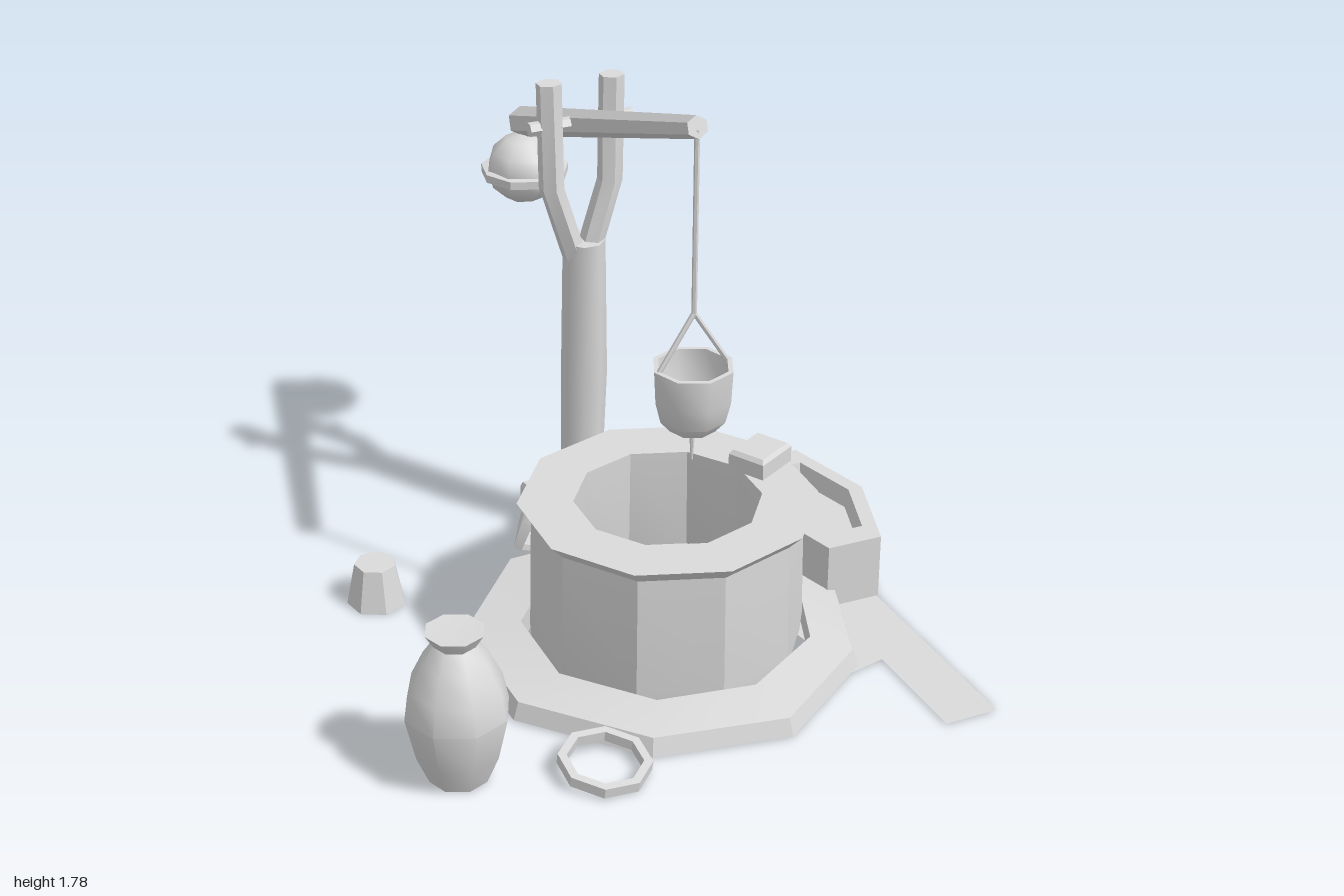
import * as THREE from 'three';
import { toCreasedNormals } from 'three/addons/utils/BufferGeometryUtils.js';

const V = (x, y, z) => new THREE.Vector3(x, y, z);
const FLAT = 0.2, SOFT = 0.95;

// Regular ring of n points, running from +z towards +x
function ring(cx, y, cz, rx, rz, n, start = 0) {
  return Array.from({ length: n }, (_, i) => {
    const a = start + (i / n) * Math.PI * 2;
    return V(cx + Math.sin(a) * rx, y, cz + Math.cos(a) * rz);
  });
}

// Skin a stack of rings, with optional end caps
function loft(rings, capStart = true, capEnd = true) {
  const pos = [], n = rings[0].length;
  const tri = (...pts) => pts.forEach((p) => pos.push(p.x, p.y, p.z));
  for (let k = 0; k < rings.length - 1; k++) {
    const a = rings[k], b = rings[k + 1];
    for (let i = 0; i < n; i++) {
      const j = (i + 1) % n;
      tri(a[i], a[j], b[j]);
      tri(a[i], b[j], b[i]);
    }
  }
  const cap = (r, flip) => {
    const c = r.reduce((s, p) => s.add(p), V(0, 0, 0)).divideScalar(n);
    for (let i = 0; i < n; i++) {
      const p = r[i], q = r[(i + 1) % n];
      flip ? tri(c, q, p) : tri(c, p, q);
    }
  };
  if (capStart) cap(rings[0], true);
  if (capEnd) cap(rings[rings.length - 1], false);
  const g = new THREE.BufferGeometry();
  g.setAttribute('position', new THREE.Float32BufferAttribute(pos, 3));
  return g;
}

const lathe = (pts, n, start = 0) =>
  new THREE.LatheGeometry(pts.map(([r, y]) => new THREE.Vector2(r, y)), n, start);

// Tapered rod between two points
function rod(a, b, ra, rb, n = 6) {
  const d = b.clone().sub(a);
  const g = new THREE.CylinderGeometry(rb, ra, d.length(), n);
  g.applyQuaternion(new THREE.Quaternion().setFromUnitVectors(V(0, 1, 0), d.normalize()));
  const m = a.clone().add(b).multiplyScalar(0.5);
  return g.translate(m.x, m.y, m.z);
}

// Block with a bevelled top edge and open underside, standing on y = 0
function block(w, h, d) {
  const sq = (s, y) => [V(w * s, y, d * s), V(w * s, y, -d * s), V(-w * s, y, -d * s), V(-w * s, y, d * s)];
  return loft([sq(0.5, 0), sq(0.5, h * 0.8), sq(0.43, h)], false);
}

export function createModel() {
  const model = new THREE.Group();
  model.name = 'sweepWell';
  const grey = new THREE.MeshStandardMaterial({ color: 0xdadada });
  grey.name = 'plain grey';
  grey.side = THREE.DoubleSide;

  const add = (name, geo, x = 0, y = 0, z = 0, crease = FLAT) => {
    const mesh = new THREE.Mesh(toCreasedNormals(geo, crease), grey);
    mesh.name = name;
    mesh.position.set(x, y, z);
    model.add(mesh);
    return mesh;
  };
  const cx = 0.083, wz = 0.28, pz = -0.395;

  // Uneven paving around the well
  const outline = [[0.215, 0.888], [0.555, 0.635], [0.665, 0.295], [0.537, -0.16], [0.23, -0.3],
    [-0.23, -0.27], [-0.51, 0.07], [-0.5, 0.5], [-0.2, 0.825]];
  const paving = (f, y) => outline.map(([x, z]) => {
    const d = V(x - cx, 0, z - wz), len = d.length();
    return d.multiplyScalar(f(len) / len).add(V(cx, y, wz));
  });
  const base = [paving((l) => l, 0.005), paving((l) => l * 0.97, 0.06), paving(() => 0.443, 0.085), paving(() => 0.443, 0.005)];
  add('paving', loft([...base, base[0]], false, false));

  // Well wall with flared lip, and the water inside
  add('wellWall', lathe([[0.41, 0.02], [0.415, 0.08], [0.408, 0.46], [0.45, 0.505], [0.282, 0.505],
    [0.29, 0.17], [0.325, 0.02], [0.41, 0.02]], 10), cx, 0, wz);
  add('wellWater', new THREE.CylinderGeometry(0.29, 0.29, 0.008, 10), cx, 0.17, wz);
  add('lipStone', block(0.153, 0.065, 0.125), 0.42, 0.503, 0.207).rotation.y = 0.53;

  // Hexagonal trough
  const hex = (s, y) => [[0.09, 0.297], [0.178, 0], [0.09, -0.297], [-0.09, -0.297], [-0.178, 0], [-0.09, 0.297]]
    .map(([x, z]) => V(x * s, y, z * s));
  add('trough', loft([hex(1, 0), hex(1, 0.217), hex(0.73, 0.217), hex(0.67, 0.155)]), 0.707, 0, 0.01);

  // Paper-thin run-off strip on the ground
  const strip = new THREE.Shape([[0.52, 0.66], [0.64, 0.63], [0.655, 1], [0.825, 0.995], [0.79, 0.25], [0.6, 0.1], [0.45, 0.35]]
    .map(([x, z]) => new THREE.Vector2(x, -z)));
  add('runOff', new THREE.ShapeGeometry(strip).rotateX(-Math.PI / 2), 0, 0.003, 0);

  // Earth mound and stones at the foot of the post
  add('mound', lathe([[0.235, 0], [0.205, 0.09], [0.12, 0.16], [0, 0.175]], 7, 0.2), cx, 0, -0.402, 0.6);
  [[-0.11, -0.29, -0.6], [0.29, -0.325, 0.35], [0.02, -0.62, 0.15]].forEach(([x, z, a]) => {
    add('footStone', block(0.09, 0.085, 0.09), x, 0, z).rotation.y = a;
  });

  // Leaning post
  add('post', loft([[0, -0.425, 0.068], [0.2, -0.425, 0.069], [0.6, -0.4, 0.076], [1.06, pz, 0.069]]
    .map(([y, z, r]) => ring(0.093, y, z, r * 0.95, r, 8, Math.PI / 8)), false), 0, 0, 0, 0.9);

  // Forked arms and pivot pin
  for (const s of [-1, 1]) {
    const path = [[0.02, 1.0, 0.038, 0.046], [0.05, 1.1, 0.039, 0.045], [0.096, 1.25, 0.039, 0.041], [0.102, 1.59, 0.04, 0.036]];
    add(s < 0 ? 'rightForkArm' : 'leftForkArm',
      loft(path.map(([x, y, rx, rz]) => ring(cx + s * x, y, pz, rx, rz, 6))));
  }
  add('pivotPin', rod(V(-0.084, 1.45, pz), V(0.25, 1.45, pz), 0.022, 0.022));

  // Sweep beam
  add('beam', rod(V(cx, 1.265, -0.89), V(cx, 1.752, 0.445), 0.049, 0.033));

  // Counterweight stone with its binding
  add('counterweight', new THREE.SphereGeometry(0.122, 8, 6).scale(1.02, 0.94, 1), 0.077, 1.12, -0.862, SOFT);
  add('counterweightBand', lathe([[0.11, -0.018], [0.142, -0.014], [0.142, 0.012], [0.11, 0.016]], 9), 0.079, 1.11, -0.862);
  add('counterweightTie', rod(V(cx, 1.2, -0.87), V(cx, 1.28, -0.88), 0.02, 0.015));

  // Rope, bail and bucket
  const bz = 0.443;
  add('rope', rod(V(cx, 1.18, bz), V(cx, 1.745, bz), 0.008, 0.008));
  for (const s of [-1, 1]) add('bail', rod(V(cx + s * 0.107, 1.02, bz), V(cx, 1.19, bz), 0.008, 0.008));
  add('bucket', lathe([[0, 0], [0.07, 0], [0.1, 0.035], [0.116, 0.1], [0.121, 0.2], [0.106, 0.2],
    [0.1, 0.1], [0.08, 0.03], [0, 0.02]], 8), cx, 0.826, bz, 0.81);
  add('ropeTail', rod(V(cx, 0.72, bz), V(cx, 0.84, bz), 0.003, 0.011));

  // Tall jar with an open foot
  add('jar', lathe([[0.088, 0], [0.125, 0.09], [0.155, 0.225], [0.138, 0.31], [0.1, 0.39],
    [0.063, 0.445], [0.087, 0.485], [0, 0.48]], 8), -0.735, 0, 0.682, 0.85);

  // Small upturned pot
  add('pot', lathe([[0.093, 0], [0.066, 0.138], [0, 0.138]], 7), -0.66, 0, -0.277);

  // Hoop lying on the ground
  const hoop = add('hoop', lathe([[0.11, -0.016], [0.136, -0.016], [0.136, 0.016], [0.11, 0.016], [0.11, -0.016]],
    8, Math.PI / 8), -0.35, 0.036, 0.83);
  hoop.rotation.set(0.12, 0, -0.06);

  return model;
}
